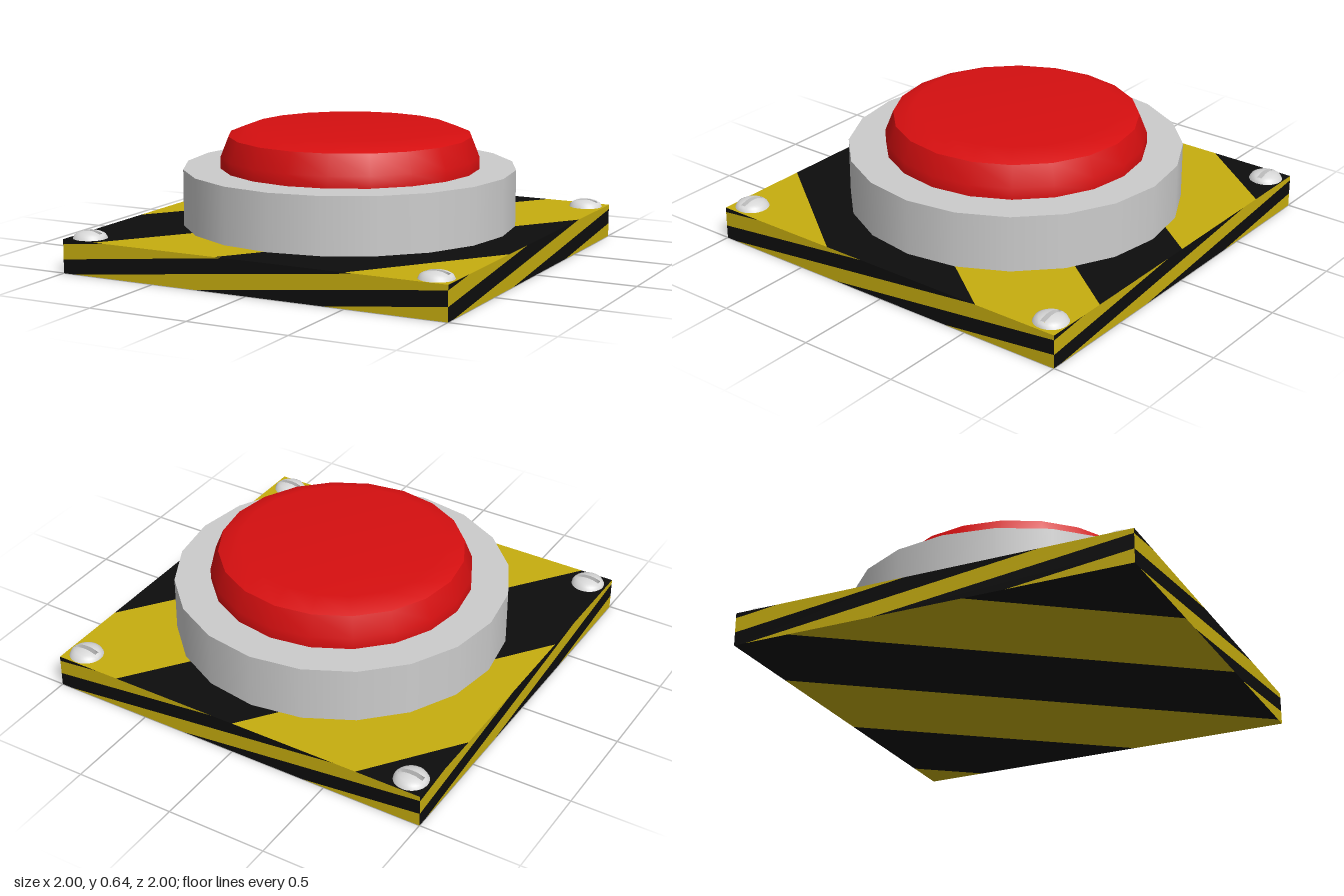
import * as THREE from 'three';
import { mergeGeometries } from 'three/addons/utils/BufferGeometryUtils.js';

const paint = (name, color) => {
  const m = new THREE.MeshStandardMaterial({ color });
  m.name = name;
  return m;
};

const BASE_H = 0.165;   // height of the striped plate
const BAND = 0.664;     // width of one stripe along the face
const SLANT = 0.745;    // sideways run of a stripe per unit of height

// Keep the part of a convex polygon where sign * (s - SLANT * t - limit) >= 0
function clip(poly, limit, sign) {
  const out = [];
  poly.forEach((p, i) => {
    const q = poly[(i + 1) % poly.length];
    const dp = sign * (p.x - SLANT * p.y - limit);
    const dq = sign * (q.x - SLANT * q.y - limit);
    if (dp >= 0) out.push(p);
    if (dp * dq < 0) out.push(p.clone().lerp(q, dp / (dp - dq)));
  });
  return out;
}

// Cut a 2 x 2 face into diagonal bands; a yellow band ends at the given offset
function stripes(offset) {
  const square = [[-1, -1], [1, -1], [1, 1], [-1, 1]].map(([x, y]) => new THREE.Vector2(x, y));
  const bands = [[], []];
  for (let k = -5; k <= 5; k++) {
    const start = offset + k * BAND;
    const poly = clip(clip(square, start, 1), start + BAND, -1);
    if (poly.length > 2) bands[Math.abs(k) % 2].push(new THREE.ShapeGeometry(new THREE.Shape(poly)));
  }
  return bands.map((b) => mergeGeometries(b)); // [black, yellow]
}

function stripedBase(black, yellow) {
  const group = new THREE.Group();
  group.name = 'stripedBase';
  const pieces = [[], []];
  const addFace = (offset, place) => stripes(offset).forEach((g, i) => pieces[i].push(place(g)));

  addFace(0.58, (g) => g.rotateX(-Math.PI / 2).translate(0, BASE_H, 0));
  addFace(-0.47, (g) => g.rotateX(Math.PI / 2));
  for (let i = 0; i < 4; i++) {
    addFace(0.47, (g) => g.scale(1, BASE_H / 2, 1)
      .translate(0, BASE_H / 2, 1).rotateY(i * Math.PI / 2));
  }
  [['blackStripes', black], ['yellowStripes', yellow]].forEach(([name, mat], i) => {
    const mesh = new THREE.Mesh(mergeGeometries(pieces[i]), mat);
    mesh.name = name;
    group.add(mesh);
  });
  return group;
}

// Domed screw head with a slot cut right through it
function screwGeometry() {
  const N = 32, R = 0.083, H = 0.037, halfL = 0.0625, halfW = 0.0125;
  const pos = [], index = [];
  const dome = (r) => H * Math.sqrt(Math.max(0, 1 - (r / R) ** 2));
  // Rows run up the slot wall, then from the slot rim out to the edge
  const rows = [[0, false], [0, true], [0, true], [0.3, true], [0.6, true], [0.85, true], [1, true]];
  rows.forEach(([f, raised]) => {
    for (let i = 0; i < N; i++) {
      const a = (i / N) * Math.PI * 2, c = Math.cos(a), s = Math.sin(a);
      const rim = Math.min(halfL / Math.max(Math.abs(c), 1e-6), halfW / Math.max(Math.abs(s), 1e-6));
      const r = rim + (R - rim) * f;
      pos.push(r * c, raised ? dome(r) : 0, -r * s);
    }
  });
  for (let j = 0; j < rows.length - 1; j++) {
    if (j === 1) continue; // sharp edge between wall and dome
    for (let i = 0; i < N; i++) {
      const k = (i + 1) % N, a = j * N + i, b = a + N, c = (j + 1) * N + k, d = j * N + k;
      index.push(a, b, c, a, c, d);
    }
  }
  const g = new THREE.BufferGeometry();
  g.setAttribute('position', new THREE.Float32BufferAttribute(pos, 3));
  g.setIndex(index);
  g.computeVertexNormals();
  return g;
}

export function createModel() {
  const black = paint('stripeBlack', 0x0d0d0d);
  const yellow = paint('stripeYellow', 0xc6ad0f);
  const grey = paint('collarGrey', 0xcccccc);
  const red = paint('buttonRed', 0xd60f10);
  const steel = paint('screwSteel', 0xd8d8d8);

  const model = new THREE.Group();
  model.name = 'pushButton';
  const add = (name, geometry, material, x, y, z) => {
    const mesh = new THREE.Mesh(geometry, material);
    mesh.name = name;
    mesh.position.set(x, y, z);
    model.add(mesh);
  };

  model.add(stripedBase(black, yellow));

  // Collar around the button
  const collarH = 0.443 - BASE_H;
  add('collar', new THREE.CylinderGeometry(0.82, 0.82, collarH, 20), grey, 0, BASE_H + collarH / 2, -0.016);

  // Button side and top, split where the edge is sharp
  const lathe = (pts) => new THREE.LatheGeometry(pts.map(([r, y]) => new THREE.Vector2(r, y)), 20);
  add('buttonSide', lathe([[0.64, 0.44], [0.64, 0.5], [0.6, 0.6]]), red, 0, 0, -0.02);
  add('buttonTop', lathe([[0.6, 0.6], [0.495, 0.64], [0, 0.64]]), red, 0, 0, -0.02);

  // Screws in the corners
  const screw = screwGeometry();
  for (const x of [-0.905, 0.905]) {
    for (const z of [-0.912, 0.912]) add('screw', screw, steel, x, BASE_H, z);
  }
  return model;
}
